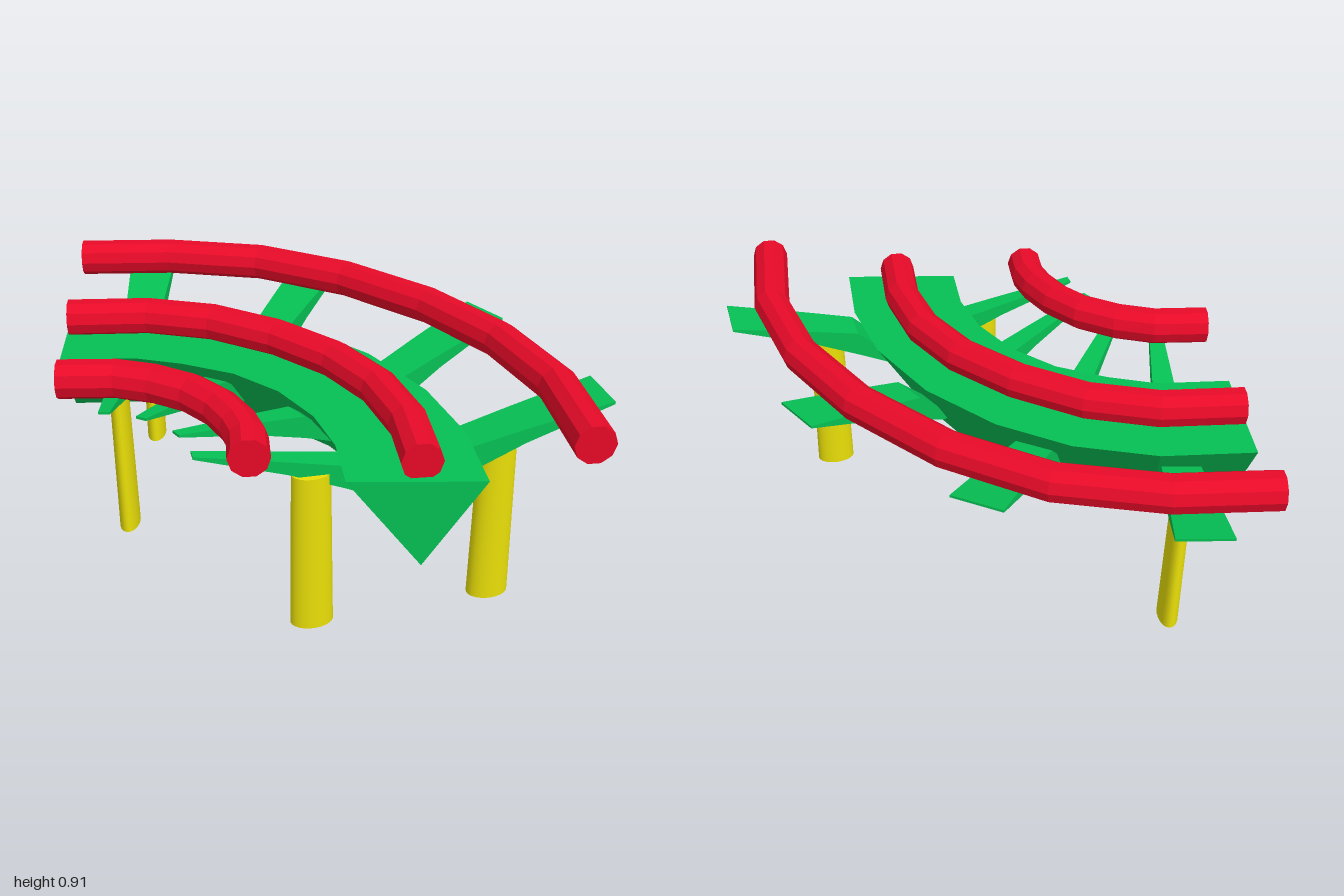
import * as THREE from 'three';

const flat = (color) => new THREE.MeshStandardMaterial({ color, flatShading: true });
const red = flat(0xe80a28);
const green = flat(0x06c054);
const yellow = new THREE.MeshStandardMaterial({ color: 0xe8de08 });
const V = (x, y, z) => new THREE.Vector3(x, y, z);

// Skin a list of equal-sized rings and cap both ends
function loft(rings) {
  const pos = [];
  const tri = (...pts) => pts.forEach((p) => pos.push(p.x, p.y, p.z));
  const n = rings[0].length;
  for (let i = 0; i < rings.length - 1; i++) {
    for (let j = 0; j < n; j++) {
      const k = (j + 1) % n;
      const a = rings[i][j], b = rings[i][k], c = rings[i + 1][k], d = rings[i + 1][j];
      tri(a, d, c);
      tri(a, c, b);
    }
  }
  const s = rings[0], e = rings[rings.length - 1];
  for (let j = 1; j < n - 1; j++) {
    tri(s[0], s[j], s[j + 1]);
    tri(e[0], e[j + 1], e[j]);
  }
  const g = new THREE.BufferGeometry();
  g.setAttribute('position', new THREE.Float32BufferAttribute(pos, 3));
  g.computeVertexNormals();
  return g;
}

function add(group, name, geometry, material) {
  const m = new THREE.Mesh(geometry, material);
  m.name = name;
  group.add(m);
  return m;
}

// Round rail following [x, z] points, with the height given by a rule
function rail(path, heightAt, radius = 0.072, sides = 10) {
  return loft(path.map(([x, z], i) => {
    const p = path[Math.max(i - 1, 0)], q = path[Math.min(i + 1, path.length - 1)];
    const dir = V(q[0] - p[0], 0, q[1] - p[1]).normalize();
    const right = V(-dir.z, 0, dir.x);
    return Array.from({ length: sides }, (_, j) => {
      const a = (j / sides) * Math.PI * 2;
      return V(x, heightAt(z) + Math.sin(a) * radius, z).addScaledVector(right, Math.cos(a) * radius);
    });
  }));
}

// Cross arm, thick at the beam: [distance from beam centre, underside y, top y]
const ARM = [
  [-0.735, 0.745, 0.755], [-0.42, 0.645, 0.695], [-0.22, 0.565, 0.655], [-0.1, 0.51, 0.56],
  [0.1, 0.51, 0.56], [0.22, 0.567, 0.67], [0.42, 0.658, 0.715], [0.735, 0.77, 0.78],
];
function arm(mid, dir, lift) {
  const right = V(-dir.z, 0, dir.x);
  return loft(ARM.map(([s, low, high]) => {
    const half = 0.06 + (s / 0.735) * 0.04;
    const c = mid.clone().addScaledVector(dir, s);
    const rise = Math.max(s, 0) / 0.735 * lift;
    const corner = (side, y) => c.clone().addScaledVector(right, side * half).setY(y + rise);
    return [corner(1, low), corner(1, high), corner(-1, high), corner(-1, low)];
  }));
}

export function createModel() {
  const group = new THREE.Group();
  group.name = 'curvedTrack';

  // Three rails
  add(group, 'outerRail', rail([
    [-0.99, -0.77], [-0.615, -0.765], [-0.225, -0.68], [0.13, -0.475],
    [0.44, -0.18], [0.665, 0.155], [0.8, 0.53], [0.835, 0.955],
  ], (z) => 0.804 + 0.02 * (z + 0.77)), red);
  add(group, 'middleRail', rail([
    [-0.99, -0.225], [-0.675, -0.225], [-0.415, -0.155], [-0.165, -0.005],
    [0.045, 0.19], [0.185, 0.41], [0.265, 0.665], [0.285, 0.925],
  ], () => 0.773), red);
  add(group, 'innerRail', rail([
    [-0.96, 0.33], [-0.75, 0.335], [-0.61, 0.38], [-0.475, 0.46],
    [-0.375, 0.57], [-0.31, 0.69], [-0.28, 0.785], [-0.275, 0.905],
  ], () => 0.791), red);

  // Triangular beam under the middle rail
  const outer = [[-1, -0.44], [-0.645, -0.44], [-0.335, -0.36], [-0.065, -0.205],
    [0.185, 0.035], [0.37, 0.335], [0.47, 0.645], [0.5, 0.96]];
  const inner = [[-1, 0.03], [-0.715, 0.03], [-0.53, 0.085], [-0.335, 0.175],
    [-0.17, 0.32], [-0.05, 0.51], [0.015, 0.71], [0.035, 0.94]];
  add(group, 'beam', loft(outer.map(([ox, oz], i) => {
    const [ix, iz] = inner[i];
    const keel = V(ix, 0.382, iz).lerp(V(ox, 0.382, oz), 0.55);
    return [V(ix, 0.715, iz), V(ox, 0.715, oz), keel];
  })), green);

  // Legs: distance along the arm, sideways offset, top y
  const backLegs = { foot: 0.042, depth: 0.5, spots: [[-0.365, -0.012, 0.64], [0.335, 0.01, 0.635]] };
  const frontLegs = { foot: 0, depth: 0.68, spots: [[-0.335, 0.018, 0.63], [0.343, 0.016, 0.655]] };

  // Cross arms: inner tip x, z, outer tip x, z, lift of the outer tip, legs
  [
    [-0.78, 0.515, -0.695, -0.955, -0.017, backLegs],
    [-0.65, 0.56, 0.04, -0.745, 0],
    [-0.525, 0.67, 0.67, -0.195, 0.005],
    [-0.465, 0.81, 0.975, 0.5, 0.015, frontLegs],
  ].forEach(([ix, iz, ox, oz, lift, legs], i) => {
    const mid = V((ix + ox) / 2, 0, (iz + oz) / 2);
    const dir = V(ox - ix, 0, oz - iz).normalize();
    const right = V(-dir.z, 0, dir.x);
    add(group, `crossArm${i + 1}`, arm(mid, dir, lift), green);
    if (!legs) return;
    // Oval legs under the end arms
    legs.spots.forEach(([s, side, top], j) => {
      const h = top - legs.foot;
      const shape = new THREE.CylinderGeometry(0.07, 0.079, h, 24).scale(1, 1, legs.depth);
      const leg = add(group, j ? 'outerLeg' : 'innerLeg', shape, yellow);
      leg.position.copy(mid).addScaledVector(dir, s).addScaledVector(right, side).setY(legs.foot + h / 2);
      leg.rotation.y = Math.atan2(-dir.z, dir.x);
    });
  });

  return group;
}
